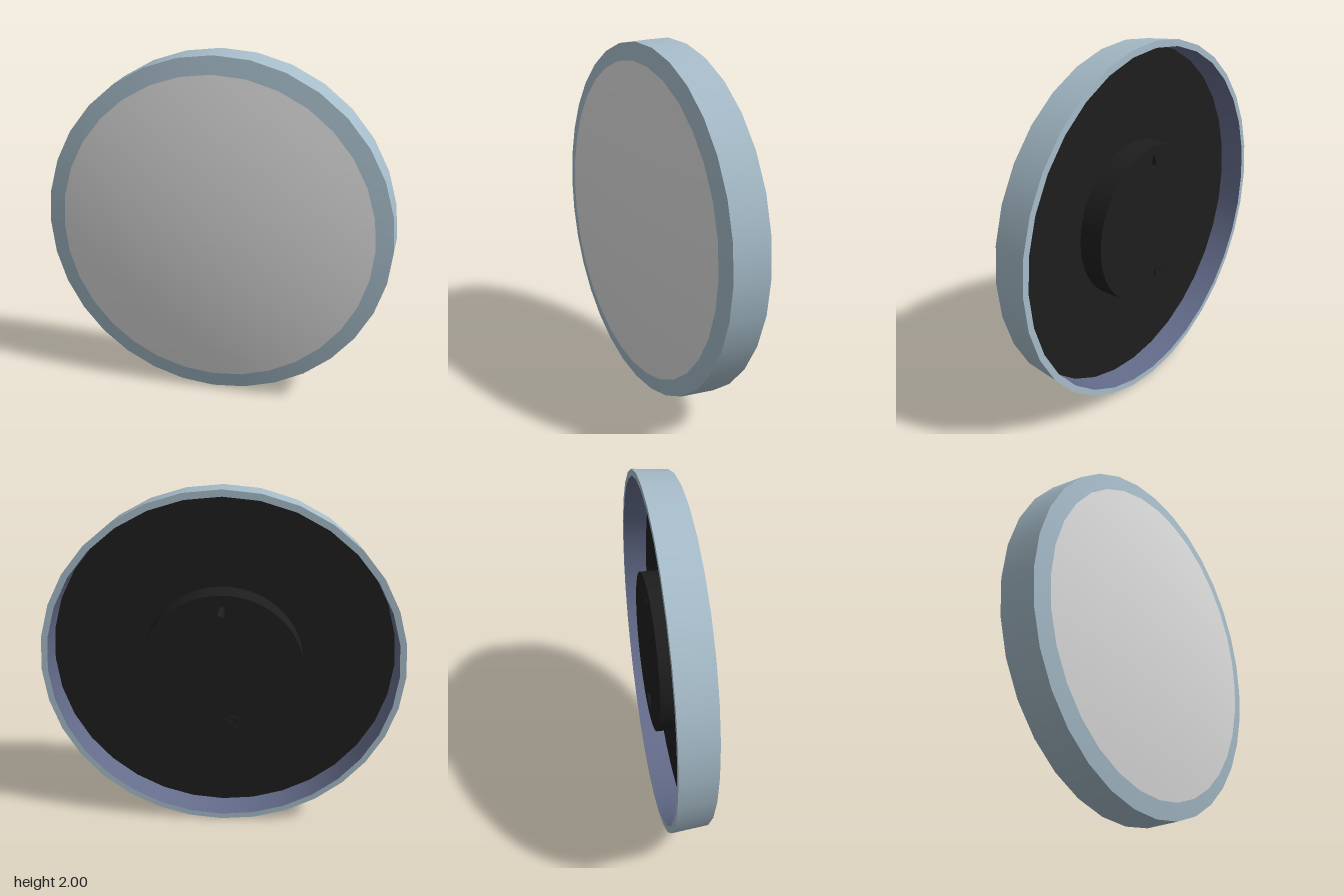
import * as THREE from 'three';

const SIDES = 32;
const BACK = -0.145, FLOOR = 0, EDGE = 0.05, FRONT = 0.143;

const mat = (name, color) => {
  const m = new THREE.MeshStandardMaterial({ color });
  m.name = name;
  return m;
};

export function createModel() {
  const blue = mat('pale blue rim', 0xa6bcc9);
  const white = mat('white diffuser', 0xdcdcdc);
  const inner = mat('slate inner wall', 0x656d8c);
  const black = mat('black back', 0x1e1e1e);

  const group = new THREE.Group();
  group.name = 'roundWallDisc';
  const body = new THREE.Group();
  body.name = 'disc';
  body.position.y = 1;
  group.add(body);

  const add = (name, geometry, material) => {
    const mesh = new THREE.Mesh(geometry, material);
    mesh.name = name;
    body.add(mesh);
    return mesh;
  };
  // Surface of revolution about z from [radius, z] points
  const turned = (name, points, material) => add(name,
    new THREE.LatheGeometry(points.map(([r, z]) => new THREE.Vector2(r, z)), SIDES).rotateX(Math.PI / 2), material);

  // Shallow spherical front, split into the rim band and the diffuser
  const domeR = 0.985, sag = FRONT - EDGE;
  const ball = (domeR * domeR + sag * sag) / (2 * sag);
  const dome = (r0, r1, n) => Array.from({ length: n + 1 }, (_, i) => {
    const r = r0 + (r1 - r0) * i / n;
    return [r, FRONT - ball + Math.sqrt(ball * ball - r * r)];
  });
  turned('frontBand', dome(domeR, 0.89, 2), blue);
  turned('diffuser', dome(0.89, 0, 10), white);

  // Rim wall, back lip and recess
  turned('rimWall', [[1, BACK], [domeR, EDGE]], blue);
  turned('backLip', [[0.965, BACK], [1, BACK]], blue);
  turned('innerWall', [[0.96, FLOOR], [0.965, BACK]], inner);
  turned('backPlate', [[0, FLOOR], [0.96, FLOOR]], black);

  // Mounting hub with a teardrop hanging slot
  const hub = new THREE.Shape().absarc(0, 0, 0.45, 0, Math.PI * 2);
  const slot = new THREE.Path();
  slot.moveTo(0, 0.41);
  slot.lineTo(-0.02, 0.36);
  slot.absarc(0, 0.35, 0.022, Math.PI * 0.85, Math.PI * 2.15);
  slot.closePath();
  hub.holes.push(slot);
  const hubGeo = new THREE.ExtrudeGeometry(hub, { depth: FLOOR - BACK - 0.008, bevelEnabled: false, curveSegments: SIDES });
  add('hub', hubGeo.translate(0, 0, BACK + 0.008), black);

  // Slotted screw: two half-round heads with a gap between them
  for (const side of [0, 1]) {
    const half = new THREE.Shape().absarc(0, 0, 0.042, 0.15, Math.PI - 0.15);
    const geo = new THREE.ExtrudeGeometry(half, { depth: 0.009, bevelEnabled: false, curveSegments: 8 });
    const mesh = add('screwHead', geo, black);
    mesh.rotation.z = Math.PI * (side + 0.25);
    mesh.position.set(-0.058, -0.315, BACK);
  }
  return group;
}
